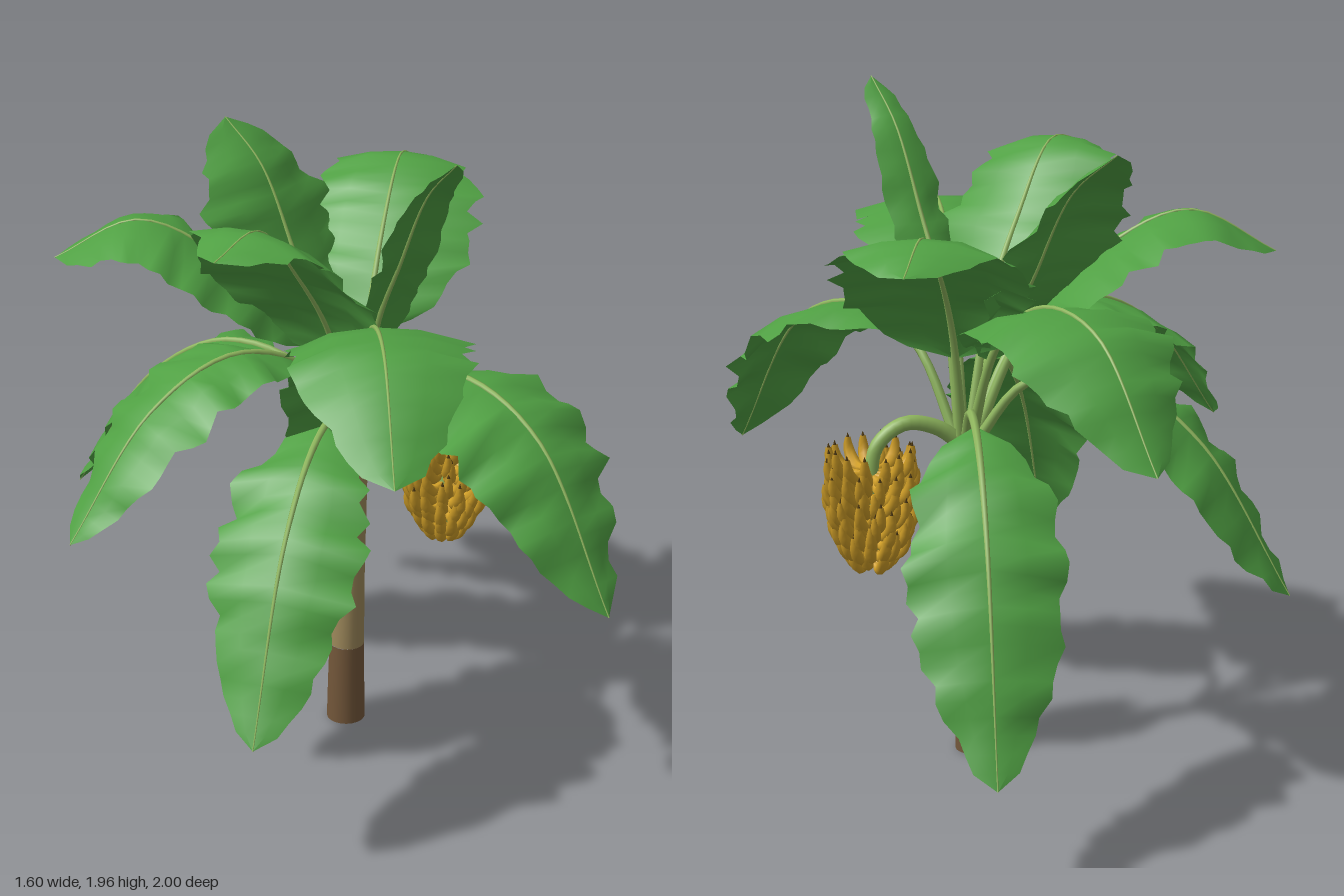
import * as THREE from 'three';
import { mergeGeometries } from 'three/addons/utils/BufferGeometryUtils.js';

const V = (x, y, z) => new THREE.Vector3(x, y, z);
const material = (name, color, side = THREE.FrontSide) => {
  const m = new THREE.MeshStandardMaterial({ color, side });
  m.name = name;
  return m;
};

let seed = 7;
const random = () => {
  seed = (seed * 16807) % 2147483647;
  return seed / 2147483647;
};

// Tube along a curve whose radius follows a function of 0..1
function taperedTube(curve, radius, segments, sides) {
  const geo = new THREE.TubeGeometry(curve, segments, 1, sides);
  const pos = geo.attributes.position;
  const p = V(0, 0, 0);
  for (let i = 0; i <= segments; i++) {
    const c = curve.getPointAt(i / segments);
    for (let j = 0; j <= sides; j++) {
      const k = i * (sides + 1) + j;
      p.fromBufferAttribute(pos, k).sub(c).multiplyScalar(radius(i / segments)).add(c);
      pos.setXYZ(k, p.x, p.y, p.z);
    }
  }
  return geo;
}

// Ragged blade along the outer part of a leaf curve, folded in cross pleats
function bladeGeometry(curve, side, halfWidth, start, fold, blunt) {
  const rows = 22, cols = [-1, -0.5, 0, 0.5, 1];
  const points = [], index = [];
  for (let i = 0; i <= rows; i++) {
    const s = i / rows;
    const c = curve.getPointAt(start + (1 - start) * s);
    const along = curve.getTangentAt(start + (1 - start) * s);
    const up = V(0, 0, 0).crossVectors(along, side).normalize();
    if (up.y < 0) up.negate();
    const w = halfWidth * Math.pow(Math.max(0, Math.sin(Math.PI * Math.pow(s, 0.8))), blunt);
    const wave = Math.sin((i * Math.PI) / 2 + 0.6);
    const tear = [0, 1].map(() => 0.88 + 0.22 * random() + 0.5 * fold * wave);
    const pleat = [0, 1].map(() => (random() - 0.5) * 0.12 + fold * wave);
    for (const u of cols) {
      const a = Math.abs(u), e = u < 0 ? 0 : 1;
      const p = c.clone()
        .addScaledVector(side, w * u * (a === 1 ? tear[e] : 1))
        .addScaledVector(along, 0.22 * w * a * (1 - s))
        .addScaledVector(up, w * (-0.24 * a * a + pleat[e] * Math.pow(a, 0.8)));
      points.push(p.x, p.y, p.z);
    }
  }
  const n = cols.length;
  for (let i = 0; i < rows; i++) {
    for (let j = 0; j < n - 1; j++) {
      const a = i * n + j, b = a + n;
      index.push(a, a + 1, b, a + 1, b + 1, b);
    }
  }
  const geo = new THREE.BufferGeometry();
  geo.setAttribute('position', new THREE.Float32BufferAttribute(points, 3));
  geo.setIndex(index);
  geo.computeVertexNormals();
  return geo;
}

// tip position, heights at 20 / 45 / 72 % of the reach, half width, pleat depth, tip shape
const LEAVES = [
  { name: 'frontLeaf', tip: [0.25, 0.77, 1.0], ys: [1.22, 1.3, 1.2], w: 0.245, fold: 0.09, blunt: 0.7 },
  { name: 'frontRightLeaf', tip: [-0.41, 1.3, 0.87], ys: [1.31, 1.51, 1.54], w: 0.25, fold: 0.02, blunt: 0.55 },
  { name: 'lowFrontRightLeaf', tip: [-0.61, 0.43, 0.52], ys: [1.12, 1.11, 0.92], w: 0.21, fold: 0.08, blunt: 0.6 },
  { name: 'rightLeaf', tip: [-0.8, 0.88, -0.08], ys: [1.24, 1.33, 1.22], w: 0.19, fold: 0.07, blunt: 0.6 },
  { name: 'highRightLeaf', tip: [-0.5, 1.74, 0.22], ys: [1.33, 1.58, 1.77], w: 0.26, fold: 0.02, blunt: 0.55 },
  { name: 'backRightLeaf', tip: [-0.5, 1.52, -0.59], ys: [1.3, 1.53, 1.64], w: 0.25, fold: 0.03, blunt: 0.55 },
  { name: 'lowBackRightLeaf', tip: [-0.27, 0.62, -0.89], ys: [1.16, 1.2, 1.04], w: 0.21, fold: 0.09, blunt: 0.6 },
  { name: 'uprightBackLeaf', tip: [0.08, 1.85, -0.54], ys: [1.24, 1.46, 1.73], w: 0.265, fold: 0.01, blunt: 0.55 },
  { name: 'backLeaf', tip: [0.37, 1.12, -1.0], ys: [1.3, 1.45, 1.42], w: 0.255, fold: 0.02, blunt: 0.6 },
  { name: 'lowBackLeftLeaf', tip: [0.73, 0.3, -0.8], ys: [1.1, 1.08, 0.86], w: 0.21, fold: 0.09, blunt: 0.6 },
  { name: 'backLeftLeaf', tip: [0.78, 1.61, -0.5], ys: [1.31, 1.54, 1.67], w: 0.27, fold: 0.02, blunt: 0.55 },
  { name: 'youngUprightLeaf', tip: [0.1, 1.96, 0.49], ys: [1.35, 1.59, 1.83], w: 0.09, fold: 0.03, blunt: 0.4 },
];

export function createModel() {
  const tree = new THREE.Group();
  tree.name = 'bananaTree';
  const leafGreen = material('leaf green', 0x50a043, THREE.DoubleSide);
  const stalkGreen = material('stalk green', 0x8fb65e);
  const tan = material('trunk tan', 0x9c875a);
  const brown = material('trunk brown', 0x73573a);
  const gold = material('banana gold', 0xd2a028);
  const dark = material('banana tip brown', 0x5a4216);

  const add = (parent, name, geo, mat) => {
    const mesh = new THREE.Mesh(geo, mat);
    mesh.name = name;
    parent.add(mesh);
    return mesh;
  };

  // Trunk: dark foot and paler upper stem, closed at both ends
  const foot = new THREE.CatmullRomCurve3([V(0.15, 0, -0.03), V(0.15, 0.13, -0.03), V(0.151, 0.265, -0.029)]);
  const stem = new THREE.CatmullRomCurve3([
    V(0.151, 0.265, -0.029), V(0.158, 0.5, -0.027), V(0.17, 0.75, -0.024), V(0.18, 0.97, -0.02),
  ]);
  add(tree, 'trunkFoot', taperedTube(foot, t => 0.06 - 0.006 * t, 4, 20), brown);
  add(tree, 'trunk', taperedTube(stem, t => 0.054 - 0.021 * t, 10, 20), tan);
  const base = add(tree, 'trunkBase', new THREE.CircleGeometry(0.06, 20), brown);
  base.rotation.x = Math.PI / 2;
  base.position.set(0.15, 0, -0.03);
  const crown = add(tree, 'crown', new THREE.SphereGeometry(0.034, 16, 10), stalkGreen);
  crown.position.set(0.18, 0.965, -0.02);

  // Leaves: arching stalk with midrib, and blade
  for (const { name, tip, ys, w, fold, blunt } of LEAVES) {
    const leaf = new THREE.Group();
    leaf.name = name;
    const end = V(...tip);
    const heart = V(0.178, 0.94, -0.02);
    const out = V(end.x - heart.x, 0, end.z - heart.z);
    const side = V(out.z, 0, -out.x).normalize();
    const start = heart.clone().addScaledVector(out.clone().normalize(), 0.02);
    const mids = [0.2, 0.45, 0.72].map((f, i) => V(heart.x + out.x * f, ys[i], heart.z + out.z * f));
    const curve = new THREE.CatmullRomCurve3([start, ...mids, end]);
    add(leaf, 'midrib', taperedTube(curve, t => 0.002 + 0.015 * Math.pow(1 - t, 1.3), 28, 7), stalkGreen);
    add(leaf, 'blade', bladeGeometry(curve, side, w, 0.27, fold, blunt), leafGreen);
    tree.add(leaf);
  }

  // Fruit bunch: dense tiers of upturned bananas around a hanging stalk
  const bunch = new THREE.Group();
  bunch.name = 'bananaBunch';
  const stalk = new THREE.CatmullRomCurve3([
    V(0.18, 0.95, -0.02), V(0.25, 1.01, 0.015), V(0.34, 1.03, 0.055), V(0.415, 0.97, 0.088),
    V(0.432, 0.85, 0.095), V(0.432, 0.63, 0.095),
  ]);
  add(bunch, 'bunchStalk', taperedTube(stalk, t => 0.024 - 0.006 * t, 28, 10), stalkGreen);
  const fruit = new THREE.CatmullRomCurve3([
    V(0.02, 0.005, 0), V(0.075, 0.0, 0), V(0.108, 0.025, 0), V(0.121, 0.055, 0), V(0.122, 0.078, 0),
  ]);
  const nib = new THREE.CatmullRomCurve3([V(0.122, 0.074, 0), V(0.1225, 0.082, 0), V(0.123, 0.09, 0)]);
  const fruitGeo = taperedTube(fruit, t => 0.005 + 0.0135 * Math.pow(Math.sin(Math.PI * Math.min(1, t * 0.95)), 0.8), 8, 7);
  const nibGeo = taperedTube(nib, t => 0.006 - 0.0055 * t, 2, 6);
  const fruits = [], nibs = [];
  const reach = [0.66, 0.86, 0.98, 1.02, 1.04, 1.04, 1.04, 1.04, 1.02];
  reach.forEach((r, tier) => {
    const count = tier === 0 ? 10 : 15;
    for (let i = 0; i < count; i++) {
      const angle = ((i + 0.12 * tier + 0.4 * (random() - 0.5)) / count) * Math.PI * 2;
      const place = new THREE.Matrix4().makeRotationY(angle)
        .setPosition(0.432, 0.612 + tier * 0.0335 + random() * 0.016, 0.095)
        .scale(V(r * (0.95 + 0.08 * random()), 1, 1));
      fruits.push(fruitGeo.clone().applyMatrix4(place));
      nibs.push(nibGeo.clone().applyMatrix4(place));
    }
  });
  add(bunch, 'bananas', mergeGeometries(fruits), gold);
  add(bunch, 'bananaTips', mergeGeometries(nibs), dark);
  tree.add(bunch);

  return tree;
}
